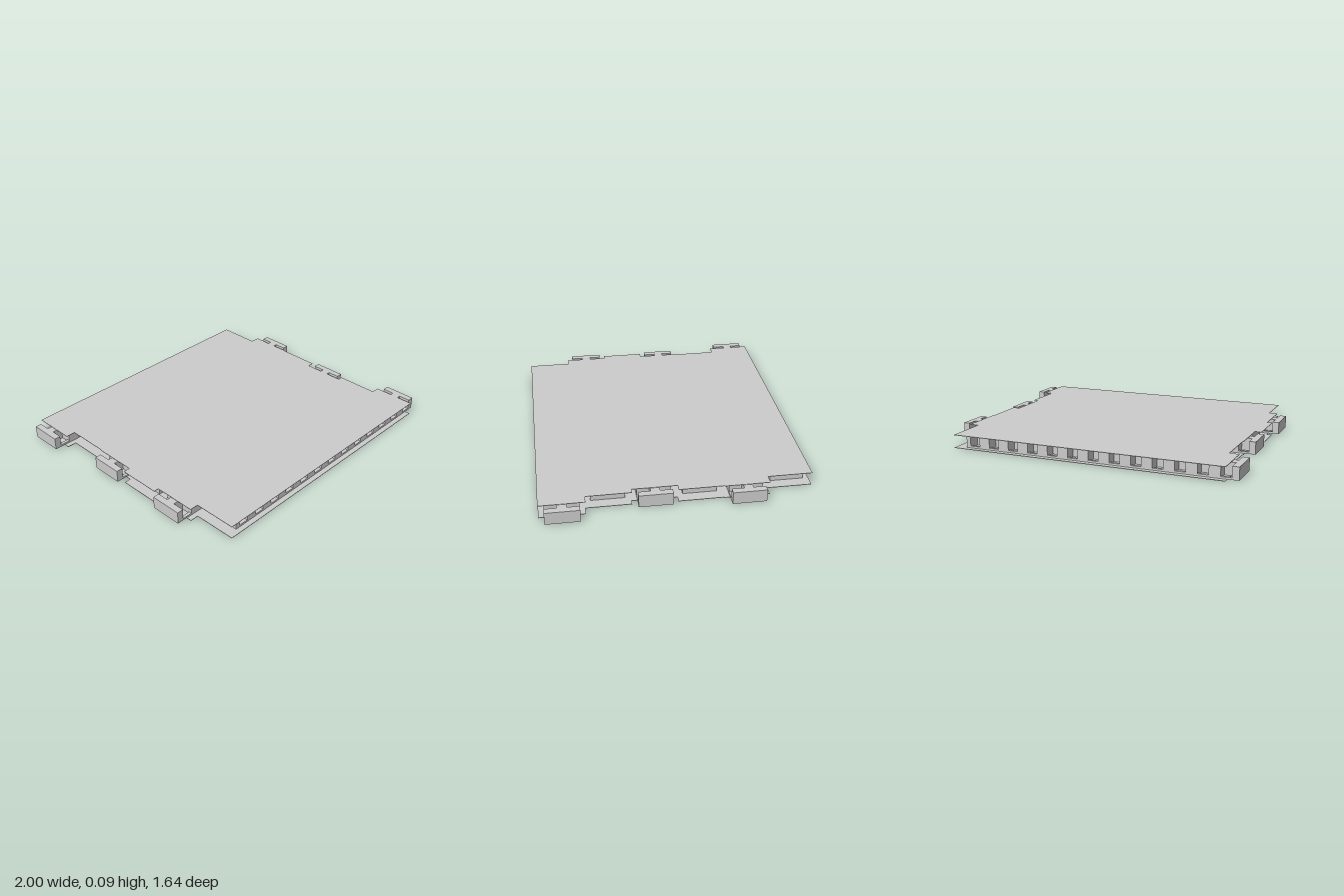
import * as THREE from 'three';

const LENGTH = 1.76, PITCH = 0.274, HEIGHT = 0.085, SHEET = 0.003;
const CORE_W = 0.206, TONGUE = 0.07, CELLS = 13, CELL = LENGTH / CELLS;
const WALL = 0.028, POCKET = 0.066, DEPTH = 0.075;

// Plan outline of a core strip with a row of pockets along both long sides
function coreGeometry() {
  const h = CORE_W / 2, x0 = -LENGTH / 2 + TONGUE;
  const near = [[x0, -h]];
  for (let i = 0; i < CELLS; i++) {
    const a = x0 + i * CELL + WALL, b = a + POCKET;
    near.push([a, -h], [a, -h + DEPTH], [b, -h + DEPTH], [b, -h]);
  }
  near.push([x0 + LENGTH, -h]);
  const far = near.map(([x, y]) => [x, -y]).reverse();
  const shape = new THREE.Shape([...near, ...far].map(([x, y]) => new THREE.Vector2(x, y)));
  const geo = new THREE.ExtrudeGeometry(shape, { depth: HEIGHT - 2 * SHEET, bevelEnabled: false });
  return geo.rotateX(-Math.PI / 2).translate(0, SHEET, 0);
}

export function createModel() {
  const model = new THREE.Group();
  model.name = 'sandwichPanel';
  const grey = new THREE.MeshStandardMaterial({ color: 0xcccccc, flatShading: true });
  const core = coreGeometry();
  const sheet = new THREE.BoxGeometry(LENGTH, SHEET, PITCH);
  const sill = new THREE.BoxGeometry(POCKET, 0.012, 0.02);

  const add = (parent, geo, name, x, y, z) => {
    const mesh = new THREE.Mesh(geo, grey);
    mesh.name = name;
    mesh.position.set(x, y, z);
    parent.add(mesh);
  };

  // Planks laid side by side, each staggered, with tongues at alternating ends
  const stagger = [-0.052, 0.009, 0.005, -0.038, -0.005, 0.05];
  stagger.forEach((shift, row) => {
    const plank = new THREE.Group();
    plank.name = 'plank' + (row + 1);
    plank.position.set(shift, 0, (row - 2.5) * PITCH);
    if (row % 2 === 0) plank.rotation.y = Math.PI;
    add(plank, sheet, 'bottomSheet', 0, SHEET / 2, 0);
    add(plank, sheet, 'topSheet', 0, HEIGHT - SHEET / 2, 0);
    add(plank, core, 'core', 0, 0, 0);

    // Low sills across the pocket mouths
    for (let i = 0; i < CELLS; i++) {
      const x = -LENGTH / 2 + TONGUE + i * CELL + WALL + POCKET / 2;
      for (const side of [-1, 1]) {
        add(plank, sill, 'pocketSill', x, SHEET + 0.006, side * (CORE_W / 2 - 0.01));
      }
    }
    model.add(plank);
  });
  return model;
}
